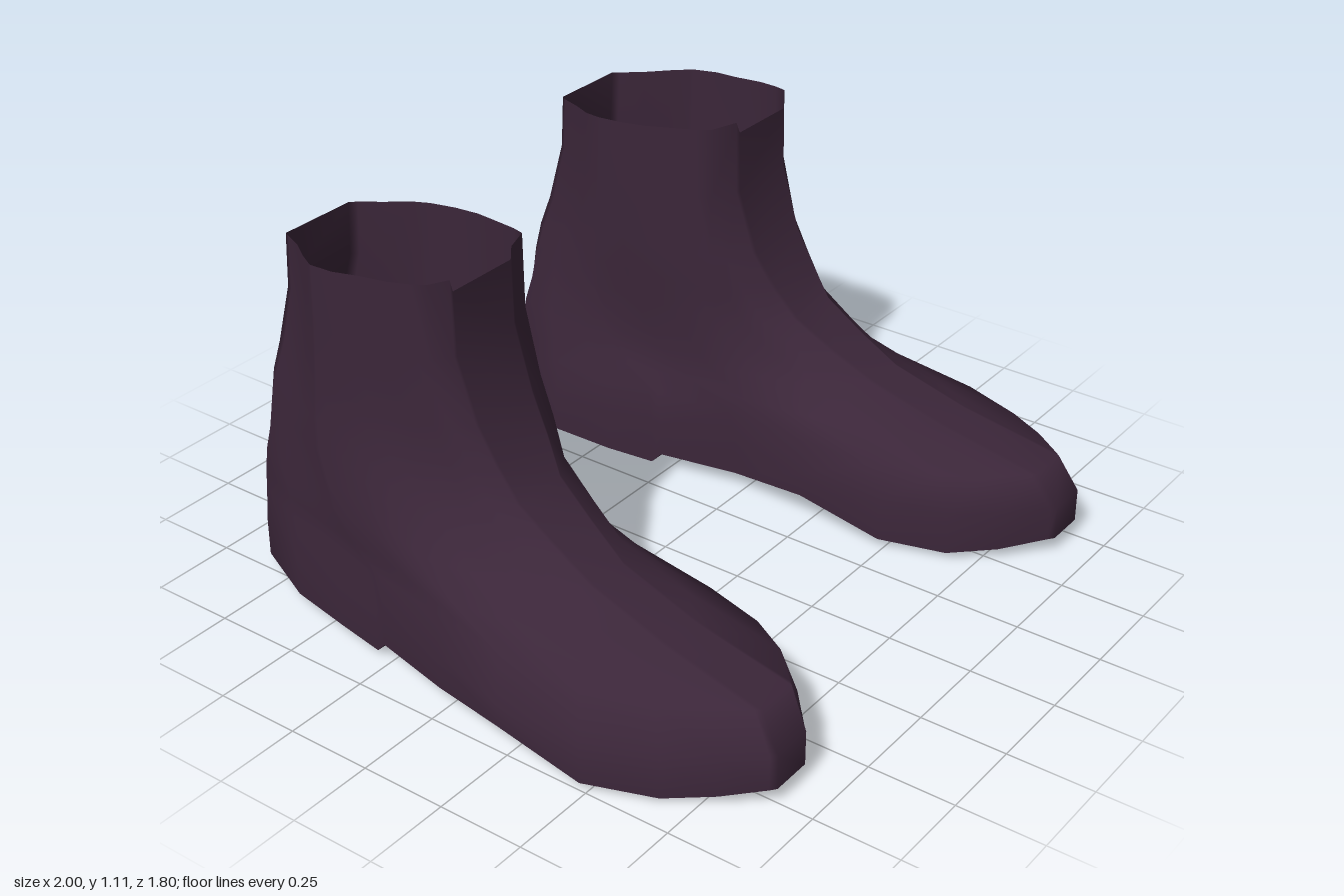
import * as THREE from 'three';

const leather = new THREE.MeshStandardMaterial({ color: 0x3b2639, side: THREE.DoubleSide });
leather.name = 'dark plum leather';

// Stations along the foot: z, inner x, outer x, edge height, sole centre height
const FOOT = [
  [-0.9, 0.48, 0.6, 0.04, 0.04], [-0.84, 0.36, 0.73, 0.037, 0.037],
  [-0.64, 0.3, 0.82, 0.03, 0.028], [-0.45, 0.315, 0.85, 0.02, 0.02],
  [-0.3, 0.335, 0.875, 0.017, 0.017], [-0.27, 0.34, 0.88, 0.05, 0.045],
  [-0.03, 0.385, 0.935, 0.05, 0.04], [0.22, 0.355, 1, 0.08, 0.01],
  [0.48, 0.365, 1, 0.025, 0.003], [0.67, 0.425, 0.925, 0.02, 0.003],
  [0.79, 0.51, 0.85, 0.035, 0.02], [0.885, 0.62, 0.77, 0.048, 0.045],
  [0.9, 0.635, 0.755, 0.05, 0.05],
];

// Shaft opening at the same stations: inner x, outer x
const RIM = [
  [0.455, 0.69], [0.44, 0.7], [0.41, 0.735], [0.375, 0.78], [0.362, 0.81],
  [0.36, 0.815], [0.355, 0.822], [0.36, 0.81], [0.38, 0.805], [0.395, 0.79],
  [0.41, 0.775], [0.49, 0.725], [0.5, 0.72],
];

// Rings up the boot: height, back z, front z, blend from foot to shaft, instep narrowing
const RINGS = [
  [0.02, -0.9, 0.9, 0, 0], [0.15, -0.9, 0.9, 0, 0], [0.25, -0.895, 0.84, 0.22, 0.12],
  [0.31, -0.885, 0.54, 0.36, 0.25], [0.38, -0.87, 0.31, 0.5, 0.3],
  [0.45, -0.85, 0.19, 0.66, 0.25], [0.53, -0.835, 0.07, 0.8, 0.2],
  [0.62, -0.81, 0.01, 0.92, 0.1], [0.72, -0.77, -0.05, 1, 0.05],
  [0.9, -0.72, -0.108, 1, 0], [1.08, -0.712, -0.112, 1, 0],
];

function makeGeometry(points, faces, side) {
  const geo = new THREE.BufferGeometry();
  geo.setAttribute('position', new THREE.Float32BufferAttribute(
    points.flatMap(([x, y, z]) => [x * side, y, z]), 3));
  geo.setIndex(faces.flatMap(([a, b, c]) => (side > 0 ? [a, b, c] : [a, c, b])));
  geo.computeVertexNormals();
  return geo;
}

// Height of a ring at one station; the rim slopes and has a shallow front notch
function ringHeight(r, i, u) {
  if (r === 0) return FOOT[i][3];
  if (r === RINGS.length - 1) return i === FOOT.length - 1 ? 1.08 : 1.055 + 0.057 * u;
  return RINGS[r][0];
}

function upperGeometry(side) {
  const points = [], faces = [], n = FOOT.length, count = 2 * n;
  RINGS.forEach(([, back, front, blend, pinch], r) => {
    for (let k = 0; k < count; k++) {
      const outer = k < n;
      const i = outer ? k : count - 1 - k;
      const u = (FOOT[i][0] + 0.9) / 1.8;
      const inX = THREE.MathUtils.lerp(FOOT[i][1], RIM[i][0], blend);
      const outX = THREE.MathUtils.lerp(FOOT[i][2], RIM[i][1], blend);
      const half = (outX - inX) / 2 * (1 - pinch * u * u);
      const x = (inX + outX) / 2 + (outer ? half : -half);
      points.push([x, ringHeight(r, i, u), THREE.MathUtils.lerp(back, front, u)]);
    }
  });
  for (let r = 0; r < RINGS.length - 1; r++) {
    for (let k = 0; k < count; k++) {
      const a = r * count + k, b = r * count + (k + 1) % count;
      faces.push([a, a + count, b], [b, a + count, b + count]);
    }
  }
  return makeGeometry(points, faces, side);
}

// Underside with a rounded tread and a low heel step
function soleGeometry(side) {
  const points = [], faces = [];
  FOOT.forEach(([z, inX, outX, edge, mid], i) => {
    points.push([inX, edge, z], [(inX + outX) / 2, mid, z], [outX, edge, z]);
    if (i === 0) return;
    for (let j = 0; j < 2; j++) {
      const a = (i - 1) * 3 + j;
      faces.push([a, a + 1, a + 3], [a + 1, a + 4, a + 3]);
    }
  });
  const geo = makeGeometry(points, faces, side).toNonIndexed();
  geo.computeVertexNormals();
  return geo;
}

export function createModel() {
  const model = new THREE.Group();
  model.name = 'ankleBoots';
  for (const side of [1, -1]) {
    const boot = new THREE.Group();
    boot.name = side > 0 ? 'leftBoot' : 'rightBoot';
    const upper = new THREE.Mesh(upperGeometry(side), leather);
    upper.name = 'upper';
    const sole = new THREE.Mesh(soleGeometry(side), leather);
    sole.name = 'sole';
    boot.add(upper, sole);
    model.add(boot);
  }
  return model;
}
